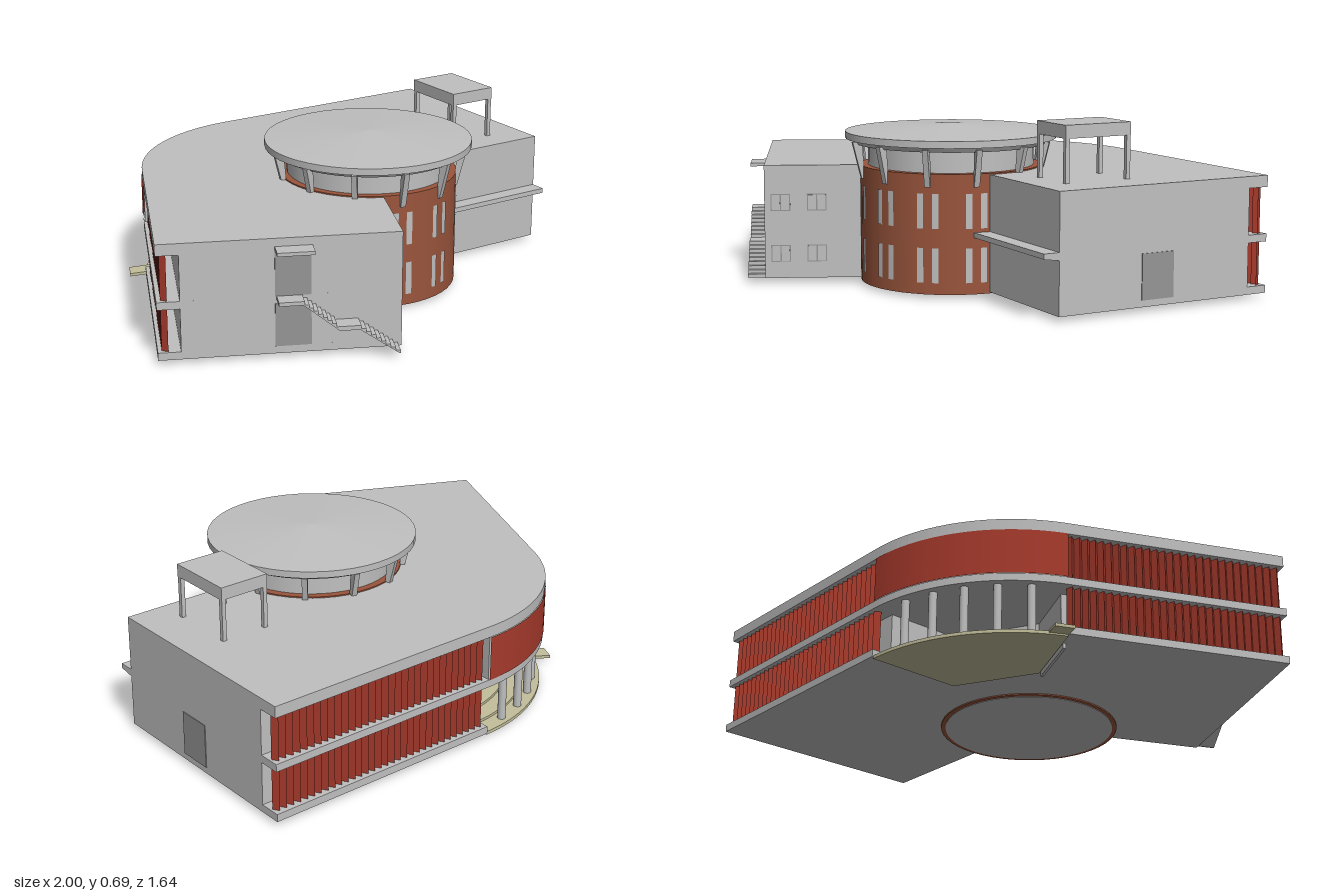
import * as THREE from 'three';

const mat = (name, color, side = THREE.FrontSide) => {
  const m = new THREE.MeshStandardMaterial({ color, side });
  m.name = name;
  return m;
};

export function createModel() {
  const concrete = mat('concrete', 0xc0c0c0);
  const shutterGrey = mat('shutter grey', 0x959595);
  const brick = mat('brick', 0x9a553c);
  const red = mat('red panel', 0xa83a2c, THREE.DoubleSide);
  const sand = mat('sand paving', 0xc4bf9b);

  const model = new THREE.Group();
  model.name = 'building';

  const add = (name, geo, material, x = 0, y = 0, z = 0, parent = model) => {
    const m = new THREE.Mesh(geo, material);
    m.name = name;
    m.position.set(x, y, z);
    parent.add(m);
    return m;
  };
  const box = (name, w, h, d, material, x, y, z, parent) =>
    add(name, new THREE.BoxGeometry(w, h, d), material, x, y, z, parent);

  // Horizontal slab from an [x, z] outline between two heights
  const slab = (name, pts, y0, y1, material) => {
    const shape = new THREE.Shape(pts.map(([x, z]) => new THREE.Vector2(x, z)));
    const geo = new THREE.ExtrudeGeometry(shape, { depth: y1 - y0, bevelEnabled: false });
    geo.rotateX(Math.PI / 2);
    return add(name, geo, material, 0, y1, 0);
  };

  // Rounded rear corner joining the two wings
  const cx = -0.006, cz = -0.135, R = 0.695;
  const turn = THREE.MathUtils.degToRad(65.8);
  const arc = (r, n = 28) => Array.from({ length: n + 1 }, (_, i) => {
    const a = -Math.PI / 2 - turn * (1 - i / n);
    return [cx + r * Math.cos(a), cz + r * Math.sin(a)];
  });

  // Storeys: full slabs, walls set back behind the rear galleries, open corner below
  const front = [[1, 0.095], [0.126, 0.095], [-0.17, 0.753]];
  const outerLeft = [-1, 0.38], innerLeft = [-0.922, 0.415];
  const recess = [[-0.318, -0.275], [cx, -0.44]];
  const fullOutline = [...front, outerLeft, ...arc(R), [1, -0.83]];
  slab('baseSlab', [...front, outerLeft, [-0.64, -0.42], ...recess, [cx, -0.83], [1, -0.83]], 0.02, 0.05, concrete);
  slab('lowerWalls', [...front, innerLeft, [-0.562, -0.385], ...recess, [cx, -0.745], [1, -0.745]], 0.05, 0.22, concrete);
  slab('middleSlab', fullOutline, 0.22, 0.25, concrete);
  slab('upperWalls', [...front, innerLeft, [-0.562, -0.385], ...arc(0.69), [cx, -0.745], [1, -0.745]], 0.25, 0.43, concrete);
  slab('roofSlab', fullOutline, 0.43, 0.475, concrete);

  // Curved red band over the open corner
  add('curvedBand', new THREE.CylinderGeometry(0.698, 0.698, 0.18, 28, 1, true, Math.PI, turn), red, cx, 0.34, cz);

  // Stepped paving and columns of the open corner
  [[0.69, 0.025], [0.62, 0.035], [0.55, 0.045]].forEach(([r, y], i) =>
    slab('cornerStep' + i, [...arc(r), recess[1], recess[0]], 0.012, y, sand));
  for (const [x, z] of arc(0.655, 6).slice(1, -1))
    add('cornerColumn', new THREE.CylinderGeometry(0.016, 0.016, 0.2, 16), concrete, x, 0.125, z);

  // Left wing frame: local x runs along its front wall, local +z points outwards
  const leftWing = new THREE.Group();
  leftWing.name = 'leftWingDetails';
  leftWing.position.set(-1, 0, 0.38);
  leftWing.rotation.y = -Math.atan2(0.41, 0.912);
  model.add(leftWing);

  // Pleated red screens along the rear galleries
  const pleats = (width, count, h) => {
    const g = new THREE.PlaneGeometry(width, h, count * 2, 1);
    const p = g.attributes.position;
    for (let i = 0; i < p.count; i++) {
      const col = i % (count * 2 + 1);
      p.setZ(i, col % 2 ? 0.012 : -0.012);
    }
    const flat = g.toNonIndexed();
    flat.computeVertexNormals();
    return flat;
  };
  for (const [y, h] of [[0.135, 0.17], [0.34, 0.18]]) {
    add('rightScreen', pleats(0.99, 32, h), red, 0.497, y, -0.803).rotation.y = Math.PI;
    add('leftScreen', pleats(0.865, 28, h), red, 0.027, y, -0.44, leftWing).rotation.y = -Math.PI / 2;
  }

  // Entrance ramp and the beam beneath
  box('ramp', 0.27, 0.012, 0.075, sand, 0.07, 0.03, -0.912, leftWing).rotation.z = 0.09;
  box('rampBeam', 0.27, 0.02, 0.011, concrete, 0.219, 0.01, -0.866, leftWing);

  // Outside doors, canopy and stair on the left wing front
  for (const [y, h] of [[0.135, 0.17], [0.34, 0.18]])
    box('leftWingDoor', 0.135, h, 0.006, shutterGrey, 0.502, y, 0.001, leftWing);
  box('doorCanopy', 0.14, 0.014, 0.07, concrete, 0.505, 0.436, 0.035, leftWing);

  const top = [[0.44, 0.25]];
  const flight = (x0, y0, x1, y1, n) => {
    for (let i = 0; i < n; i++) {
      const x = x0 + (x1 - x0) * i / n;
      top.push([x, y0 + (y1 - y0) * i / n], [x, y0 + (y1 - y0) * (i + 1) / n]);
    }
  };
  flight(0.535, 0.25, 0.67, 0.142, 8);
  flight(0.745, 0.142, 0.912, 0.02, 9);
  const under = [[0.89, 0.02], [0.74, 0.125], [0.665, 0.125], [0.53, 0.235], [0.44, 0.235]];
  const stairShape = new THREE.Shape([...top, ...under].map(([x, y]) => new THREE.Vector2(x, y)));
  add('outsideStair', new THREE.ExtrudeGeometry(stairShape, { depth: 0.07, bevelEnabled: false }),
    concrete, 0, 0, 0, leftWing);

  // Twin windows on the inner side wall of the left wing
  for (const y of [0.12, 0.326])
    for (const z of [-0.064, -0.208]) {
      box('windowFrame', 0.004, 0.068, 0.078, shutterGrey, 0.91, y, z, leftWing);
      for (const s of [-1, 1])
        box('windowPane', 0.008, 0.06, 0.032, concrete, 0.91, y, z + s * 0.0185, leftWing);
    }

  // Right wing side door and front ledge
  box('rightWingDoor', 0.006, 0.175, 0.14, shutterGrey, 1, 0.133, -0.33);
  const ledge = new THREE.Shape([[0, 0.225], [0.065, 0.235], [0.065, 0.255], [0, 0.255]]
    .map(([x, y]) => new THREE.Vector2(x, y)));
  const ledgeGeo = new THREE.ExtrudeGeometry(ledge, { depth: 0.6, bevelEnabled: false });
  ledgeGeo.rotateY(-Math.PI / 2);
  add('frontLedge', ledgeGeo, concrete, 1, 0, 0.095);

  // Round brick tower
  const tower = new THREE.Group();
  tower.name = 'tower';
  tower.position.set(0.135, 0, 0.075);
  model.add(tower);
  const cyl = (name, rt, rb, y0, y1, material, n = 48) =>
    add(name, new THREE.CylinderGeometry(rt, rb, y1 - y0, n), material, 0, (y0 + y1) / 2, 0, tower);
  cyl('brickWall', 0.36, 0.36, 0.015, 0.48, brick);
  cyl('towerFloor', 0.342, 0.342, 0.013, 0.03, concrete);
  cyl('drum', 0.33, 0.33, 0.47, 0.58, concrete);
  cyl('ringBeam', 0.395, 0.38, 0.565, 0.588, concrete);
  cyl('roofRim', 0.42, 0.42, 0.585, 0.612, concrete);
  cyl('roofCone', 0.004, 0.42, 0.612, 0.64, concrete);

  // Flared struts carrying the round roof
  for (let k = 0; k < 12; k++) {
    const strut = new THREE.Group();
    strut.name = 'strut';
    strut.rotation.y = THREE.MathUtils.degToRad(-12 + 30 * k);
    tower.add(strut);
    const s = new THREE.Shape([[0.352, 0.43], [0.366, 0.43], [0.402, 0.575], [0.365, 0.575]]
      .map(([x, y]) => new THREE.Vector2(x, y)));
    const g = new THREE.ExtrudeGeometry(s, { depth: 0.022, bevelEnabled: false });
    g.translate(0, 0, -0.011);
    g.rotateY(-Math.PI / 2);
    add('strutBlade', g, concrete, 0, 0, 0, strut);
  }

  // Paired tall tower windows below the front struts
  for (const mid of [-12, 18, 48, 78])
    for (const off of [-4.7, 4.7])
      for (const y of [0.128, 0.338]) {
        const start = THREE.MathUtils.degToRad(mid + off - 2);
        add('towerWindow', new THREE.CylinderGeometry(0.363, 0.363, 0.135, 2, 1, true, start, THREE.MathUtils.degToRad(4)),
          concrete, 0, y, 0, tower);
      }

  // Rooftop frame
  box('roofFrameTop', 0.205, 0.05, 0.285, concrete, 0.743, 0.665, -0.165);
  for (const x of [0.65, 0.836])
    for (const z of [-0.298, -0.032])
      box('roofFrameLeg', 0.017, 0.17, 0.017, concrete, x, 0.556, z);

  return model;
}
